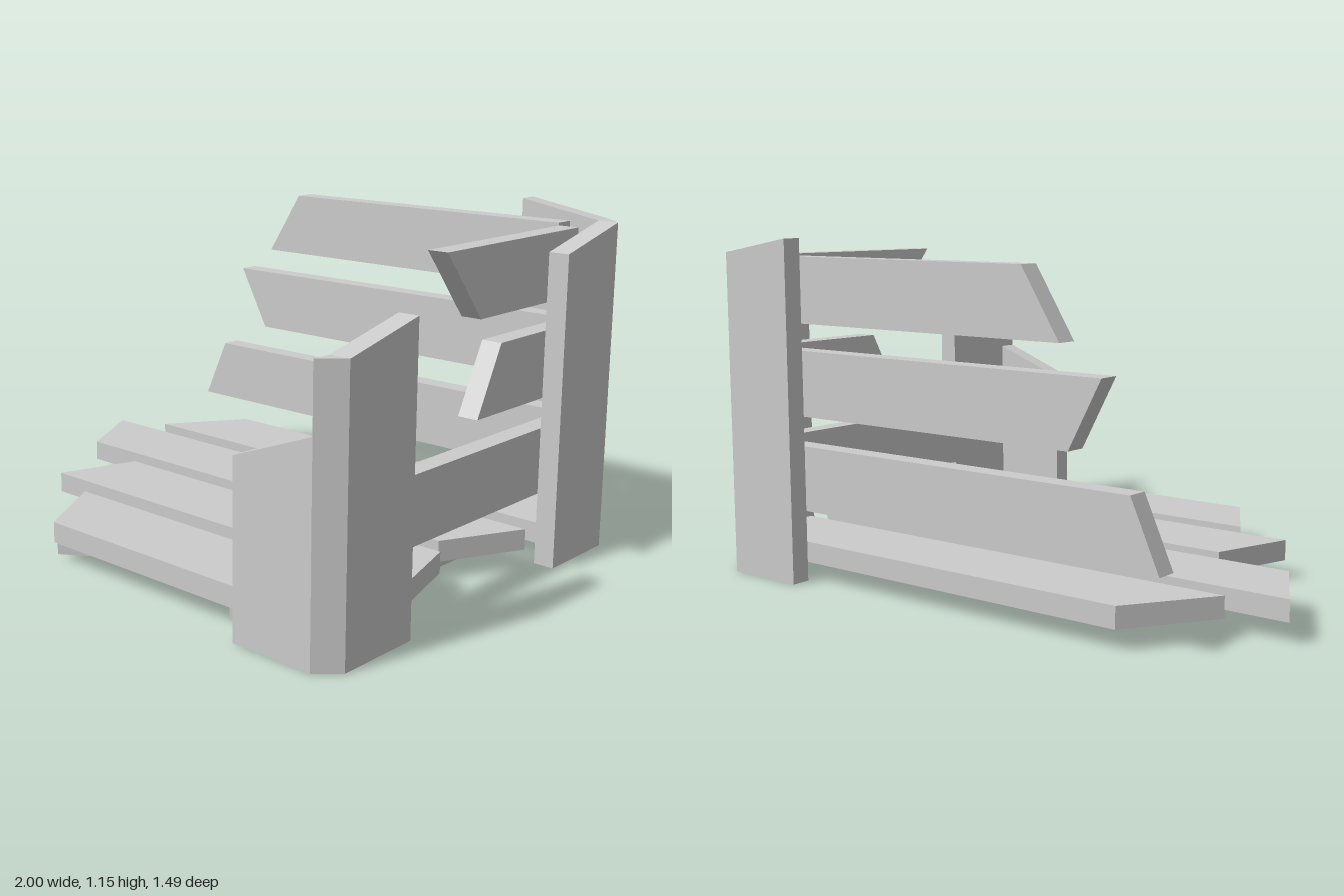
import * as THREE from 'three';

const material = new THREE.MeshStandardMaterial({ color: 0xcccccc, flatShading: true });

// Extrude a polygon outline by a given depth.
function prism(points, depth) {
  const shape = new THREE.Shape(points.map(([a, b]) => new THREE.Vector2(a, b)));
  return new THREE.ExtrudeGeometry(shape, { depth, bevelEnabled: false });
}

function add(group, name, geometry) {
  const mesh = new THREE.Mesh(geometry, material);
  mesh.name = name;
  group.add(mesh);
}

// Plan outline in (x, z), raised from y0 to y1.
function flat(points, y0, y1) {
  return prism(points.map(([x, z]) => [x, -z]), y1 - y0).rotateX(-Math.PI / 2).translate(0, y0, 0);
}

// Outline in (x, y), thick from z0 to z1.
function facingZ(points, z0, z1) {
  return prism(points, z1 - z0).translate(0, 0, z0);
}

// Outline in (z, y), thick from x0 to x1.
function facingX(points, x0, x1) {
  return prism(points, x1 - x0).rotateY(-Math.PI / 2).translate(x1, 0, 0);
}

// Corner post: two boards joined by a chamfered strip; s is the z direction.
function cornerPost(name, s, endTop, endInner, stripTop, sideInner, sideOuter) {
  const post = new THREE.Group();
  post.name = name;
  const zi = 0.68 * s, zo = 0.745 * s;
  add(post, 'endBoard', facingZ(
    [[0.64, 0], [0.93, 0], [0.93, endInner], [0.64, endTop]], Math.min(zi, zo), Math.max(zi, zo)));
  add(post, 'sideBoard', facingX(
    [[0.385 * s, 0], [zi, 0], [zi, sideOuter], [0.385 * s, sideInner]], 0.93, 1));
  add(post, 'cornerStrip', flat([[0.93, zi], [1, zi], [0.93, zo]], 0, stripTop));
  return post;
}

export function createModel() {
  const crate = new THREE.Group();
  crate.name = 'brokenCrate';

  // Corner posts
  crate.add(cornerPost('backPost', -1, 1.15, 1.1, 1.1, 1.03, 1.1));
  crate.add(cornerPost('frontPost', 1, 0.56, 0.67, 0.88, 0.95, 0.88));

  // Back planks: bottom, top, broken end at bottom and top, right end
  for (const [y0, y1, b, t, r] of [
    [0.24, 0.46, -0.79, -0.69, 0.93],
    [0.56, 0.78, -0.47, -0.59, 0.825],
    [0.87, 1.09, -0.44, -0.3, 0.825],
  ]) add(crate, 'backPlank', facingZ([[b, y0], [r, y0], [r, y1], [t, y1]], -0.68, -0.61));

  // Side planks: bottom, top, front end at bottom and top
  for (const [y0, y1, b, t] of [
    [0.24, 0.46, 0.57, 0.57],
    [0.56, 0.78, -0.02, -0.135],
    [0.87, 1.09, -0.02, 0.16],
  ]) add(crate, 'sidePlank', facingX([[-0.555, y0], [b, y0], [t, y1], [-0.555, y1]], 0.86, 0.93));

  // Floor planks: z range, left ends and right ends at each edge
  for (const [z0, z1, l0, l1, r0, r1] of [
    [-0.68, -0.4, -0.64, -0.83, 0.93, 0.93],
    [-0.32, -0.04, -1, -0.84, 0.93, 0.79],
    [0.035, 0.315, -0.54, -0.63, 0.85, 0.93],
    [0.395, 0.675, -0.405, -0.235, 0.93, 0.93],
  ]) add(crate, 'floorPlank', flat([[l0, z0], [r0, z0], [r1, z1], [l1, z1]], 0.065, 0.135));

  // Cross beams under the floor, with slanted ends
  add(crate, 'floorBeam', flat([[-0.225, -0.41], [-0.015, -0.5], [-0.015, 0.53], [-0.225, 0.67]], 0.025, 0.065));
  add(crate, 'floorBeam', flat([[0.555, -0.385], [0.76, -0.55], [0.76, 0.6], [0.555, 0.67]], 0.025, 0.065));

  return crate;
}
